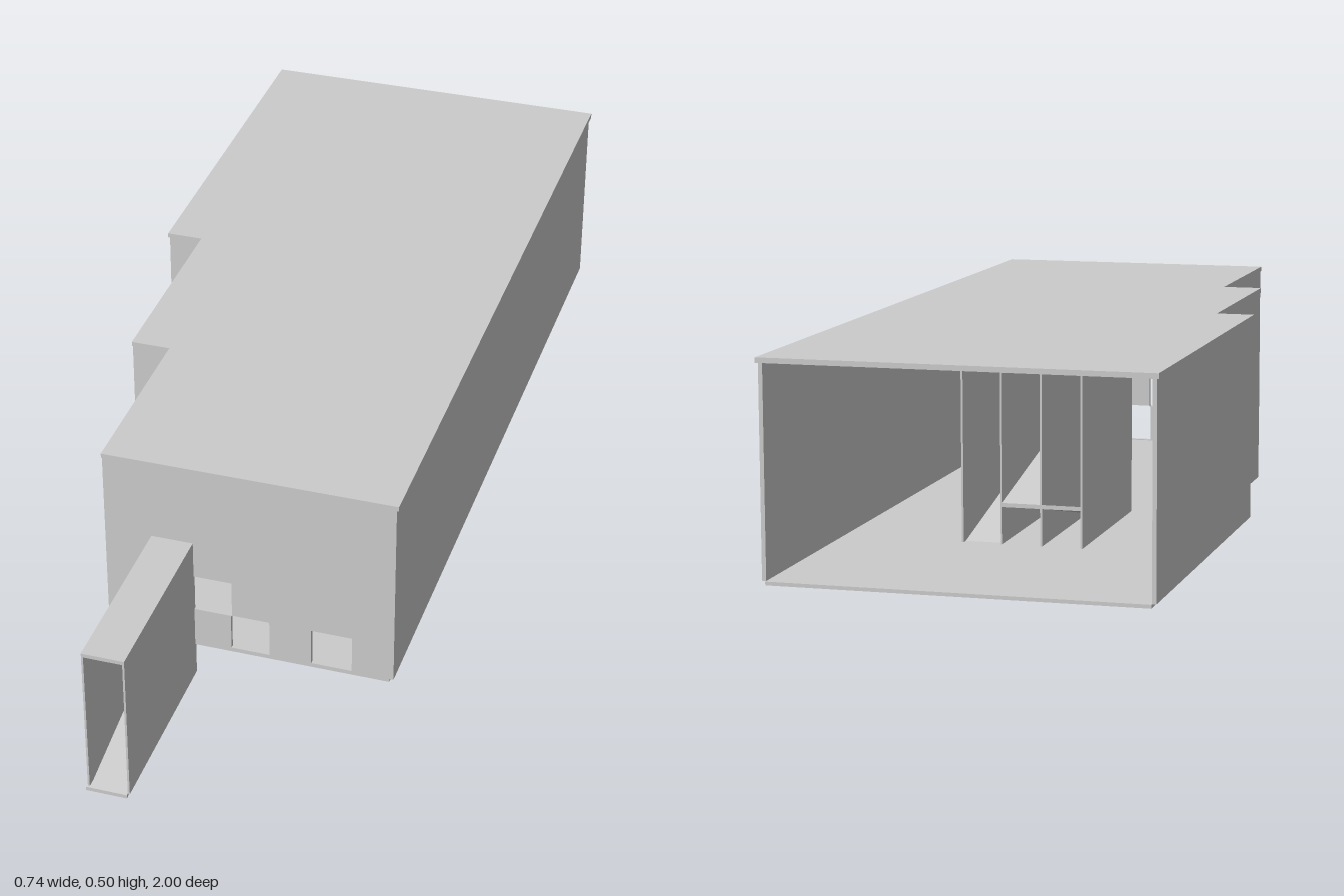
import * as THREE from 'three';

export function createModel() {
  const group = new THREE.Group();
  const material = new THREE.MeshStandardMaterial({ color: 0xcccccc, flatShading: true, side: THREE.DoubleSide });
  const add = (name, geometry) => {
    const mesh = new THREE.Mesh(geometry, material);
    mesh.name = name;
    group.add(mesh);
  };
  const box = (name, x0, x1, y0, y1, z0, z1) => {
    const g = new THREE.BoxGeometry(x1 - x0, y1 - y0, z1 - z0);
    add(name, g.translate((x0 + x1) / 2, (y0 + y1) / 2, (z0 + z1) / 2));
  };
  const shapeOf = (points) => new THREE.Shape(points.map(([a, b]) => new THREE.Vector2(a, b)));
  const extrude = (shape, depth) => new THREE.ExtrudeGeometry(shape, { depth, bevelEnabled: false });

  // Stepped floor plan, as [x, z], used for both slabs
  const slab = (name, y0, y1, grow) => {
    const r = 0.36 + grow, a = -0.36 - grow, b = -0.285 - grow, c = -0.205 - grow;
    const plan = [[a, -1], [r, -1], [r, 0.62], [c, 0.62], [c, 0.23], [b, 0.23], [b, -0.2], [a, -0.2]];
    const g = extrude(shapeOf(plan.map(([x, z]) => [x, -z])), y1 - y0);
    add(name, g.rotateX(-Math.PI / 2).translate(0, y0, 0));
  };
  slab('floor', 0.083, 0.09, 0);
  slab('roof', 0.49, 0.5, 0.012);

  // Outer side walls and the short returns at each step
  const y0 = 0.09, y1 = 0.49;
  box('leftWall', 0.36, 0.368, y0, y1, -0.995, 0.62);
  box('rightWallBack', -0.368, -0.36, y0, y1, -0.995, -0.2);
  box('rightWallMiddle', -0.295, -0.287, y0, y1, -0.2, 0.23);
  box('rightWallFront', -0.215, -0.207, y0, y1, 0.23, 0.62);
  box('stepWallBack', -0.36, -0.287, y0, y1, -0.208, -0.2);
  box('stepWallFront', -0.287, -0.207, y0, y1, 0.222, 0.23);

  // Front wall with its doorways
  const front = shapeOf([[-0.207, y0], [0.36, y0], [0.36, y1], [-0.207, y1]]);
  const openings = [[-0.118, 0.092], [-0.037, 0.17], [0.039, 0.092], [0.202, 0.092]];
  for (const [x, y] of openings) {
    const w = x > 0.2 ? 0.082 : 0.078, h = 0.079;
    front.holes.push(new THREE.Path([[x, y], [x, y + h], [x + w, y + h], [x + w, y]]
      .map(([a, b]) => new THREE.Vector2(a, b))));
  }
  add('frontWall', extrude(front, 0.008).translate(0, 0, 0.612));

  // Sloping slab between two [z, y] ends
  const ramp = (name, x0, x1, [za, ya], [zb, yb]) => {
    const t = 0.008;
    const g = extrude(shapeOf([[za, ya], [zb, yb], [zb, yb + t], [za, ya + t]]), x1 - x0);
    add(name, g.rotateY(-Math.PI / 2).translate(x1, 0, 0));
  };

  // Entrance passage with its ramp
  box('passageWallRight', -0.12, -0.116, 0.012, 0.328, 0.615, 1);
  box('passageWallLeft', -0.04, -0.036, 0.012, 0.328, 0.615, 1);
  box('passageRoof', -0.12, -0.036, 0.32, 0.328, 0.615, 1);
  ramp('passageRamp', -0.124, -0.042, [0.61, 0.08], [1, 0]);

  // Three inner ramps in switchback lanes, divided by full height walls
  ramp('innerRampRight', -0.12, -0.04, [-0.58, 0.163], [-0.2, 0.08]);
  ramp('innerRampMiddle', -0.04, 0.04, [-0.58, 0.163], [-0.2, 0.243]);
  ramp('innerRampLeft', 0.045, 0.116, [-0.58, 0.079], [-0.2, 0.163]);
  for (const x of [-0.12, -0.04, 0.04, 0.118]) {
    box('laneWall', x - 0.002, x + 0.002, y0, y1, -0.58, -0.2);
  }
  return group;
}
